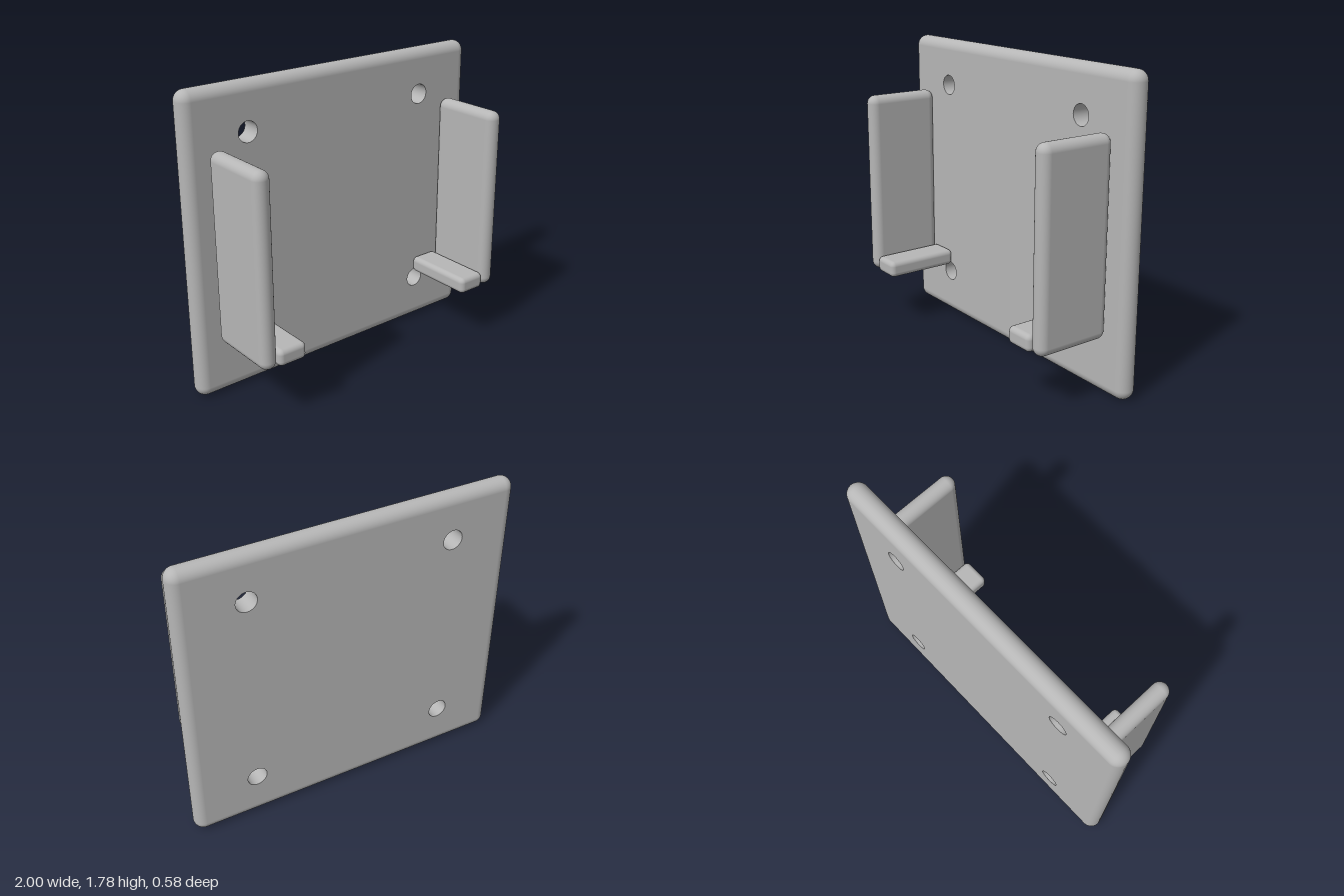
import * as THREE from 'three';
import { RoundedBoxGeometry } from 'three/addons/geometries/RoundedBoxGeometry.js';

const W = 2, H = 1.785;            // plate size
const BACK = -0.29, FRONT = -0.167; // plate depth range
const R = (FRONT - BACK) / 2;      // full-round edge radius
const MID = (FRONT + BACK) / 2;
const HOLE_R = 0.06, HOLE_X = 0.612, HOLE_Y = [0.285, 1.51];
const DEPTH = 0.458, ARM_Z = 0.29 - DEPTH / 2;

export function createModel() {
  const model = new THREE.Group();
  model.name = 'wallBracket';
  const grey = new THREE.MeshStandardMaterial({ color: 0xb6b6b6 });
  grey.name = 'grey';
  const greyInside = grey.clone();
  greyInside.side = THREE.BackSide;

  const add = (parent, name, geometry, x, y, z, material = grey) => {
    const mesh = new THREE.Mesh(geometry, material);
    mesh.name = name;
    mesh.position.set(x, y, z);
    parent.add(mesh);
    return mesh;
  };

  const plate = new THREE.Group();
  plate.name = 'backPlate';
  model.add(plate);

  // Flat faces with four screw holes
  const hx = W / 2 - R;
  const face = new THREE.Shape();
  face.moveTo(-hx, R).lineTo(hx, R).lineTo(hx, H - R).lineTo(-hx, H - R).closePath();
  for (const x of [-HOLE_X, HOLE_X]) {
    for (const y of HOLE_Y) {
      face.holes.push(new THREE.Path().absarc(x, y, HOLE_R, 0, Math.PI * 2, true));
      const wall = new THREE.CylinderGeometry(HOLE_R, HOLE_R, 2 * R, 48, 1, true).rotateX(Math.PI / 2);
      add(plate, 'screwHoleWall', wall, x, y, MID, greyInside);
    }
  }
  const faceGeometry = new THREE.ShapeGeometry(face, 24);
  add(plate, 'plateFrontFace', faceGeometry, 0, 0, FRONT);
  add(plate, 'plateBackFace', faceGeometry, 0, 0, BACK).rotation.y = Math.PI;

  // Half-round rim and rounded corners, one side per quarter turn
  for (let i = 0; i < 4; i++) {
    const side = new THREE.Group();
    side.name = 'plateRim';
    side.position.set(0, H / 2, MID);
    side.rotation.z = i * Math.PI / 2;
    plate.add(side);
    const reach = (i % 2 ? H : W) / 2 - R;
    const half = (i % 2 ? W : H) / 2 - R;
    add(side, 'rimEdge', new THREE.CylinderGeometry(R, R, 2 * half, 20, 1, true, 0, Math.PI), reach, 0, 0);
    add(side, 'rimCorner',
      new THREE.SphereGeometry(R, 20, 10, Math.PI / 2, Math.PI, 0, Math.PI / 2), reach, half, 0);
  }

  // Side walls and the small support ledges beside their feet
  const wall = new RoundedBoxGeometry(0.1, 1.12, DEPTH, 6, 0.0499);
  const ledge = new RoundedBoxGeometry(0.18, 0.1, DEPTH, 5, 0.03);
  for (const [s, label] of [[1, 'left'], [-1, 'right']]) {
    add(model, label + 'SideWall', wall, s * 0.82, 0.897, ARM_Z);
    add(model, label + 'Ledge', ledge, s * 0.679, 0.387, ARM_Z);
  }
  return model;
}
